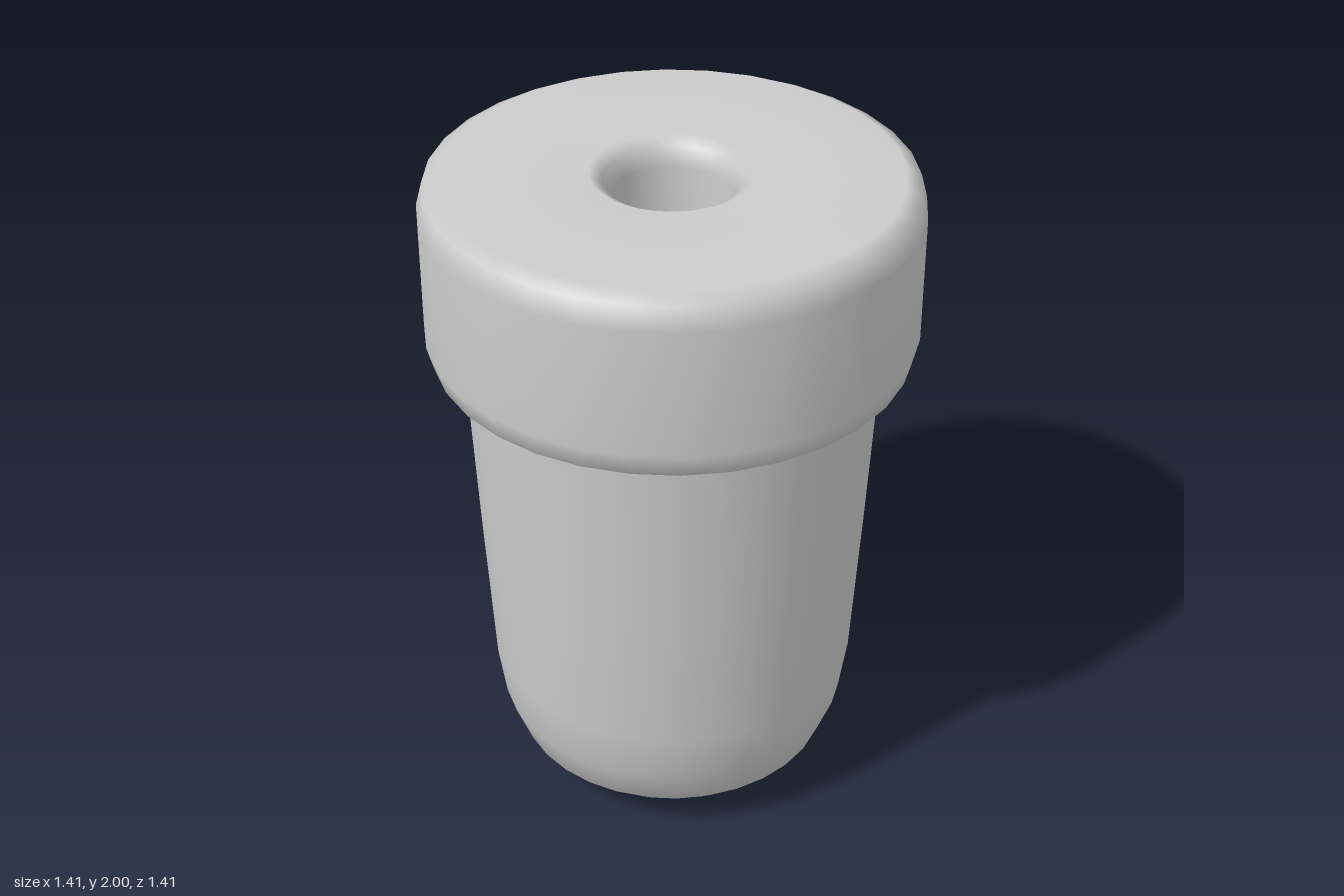
import * as THREE from 'three';

const SIDES = 32;

// Revolve a profile of [radius, height] pairs, listed from the bottom of the outside upwards
function turned(name, profile, material) {
  const points = profile.map(([r, y]) => new THREE.Vector2(r, y));
  const mesh = new THREE.Mesh(new THREE.LatheGeometry(points, SIDES), material);
  mesh.name = name;
  return mesh;
}

export function createModel() {
  const group = new THREE.Group();
  group.name = 'plug';
  const grey = new THREE.MeshStandardMaterial({ color: 0xcccccc });
  const dark = new THREE.MeshStandardMaterial({ color: 0x050505 });

  // Tapered body with a rounded closed bottom
  group.add(turned('body', [
    [0, 0], [0.24, 0.012], [0.4, 0.06], [0.475, 0.13], [0.525, 0.26],
    [0.548, 0.42], [0.575, 0.9], [0.602, 1.45],
  ], grey));

  // Wide collar with softened edges and a round bore
  group.add(turned('collar', [
    [0.58, 1.44], [0.65, 1.44], [0.688, 1.462], [0.706, 1.53],
    [0.706, 1.91], [0.688, 1.978], [0.645, 2],
    [0.23, 2], [0.195, 1.978], [0.178, 1.92], [0.178, 1.44],
  ], grey));

  // Dark floor at the end of the bore
  const floor = new THREE.Mesh(new THREE.CircleGeometry(0.18, SIDES), dark);
  floor.name = 'boreFloor';
  floor.rotation.x = -Math.PI / 2;
  floor.position.y = 1.445;
  group.add(floor);

  return group;
}
